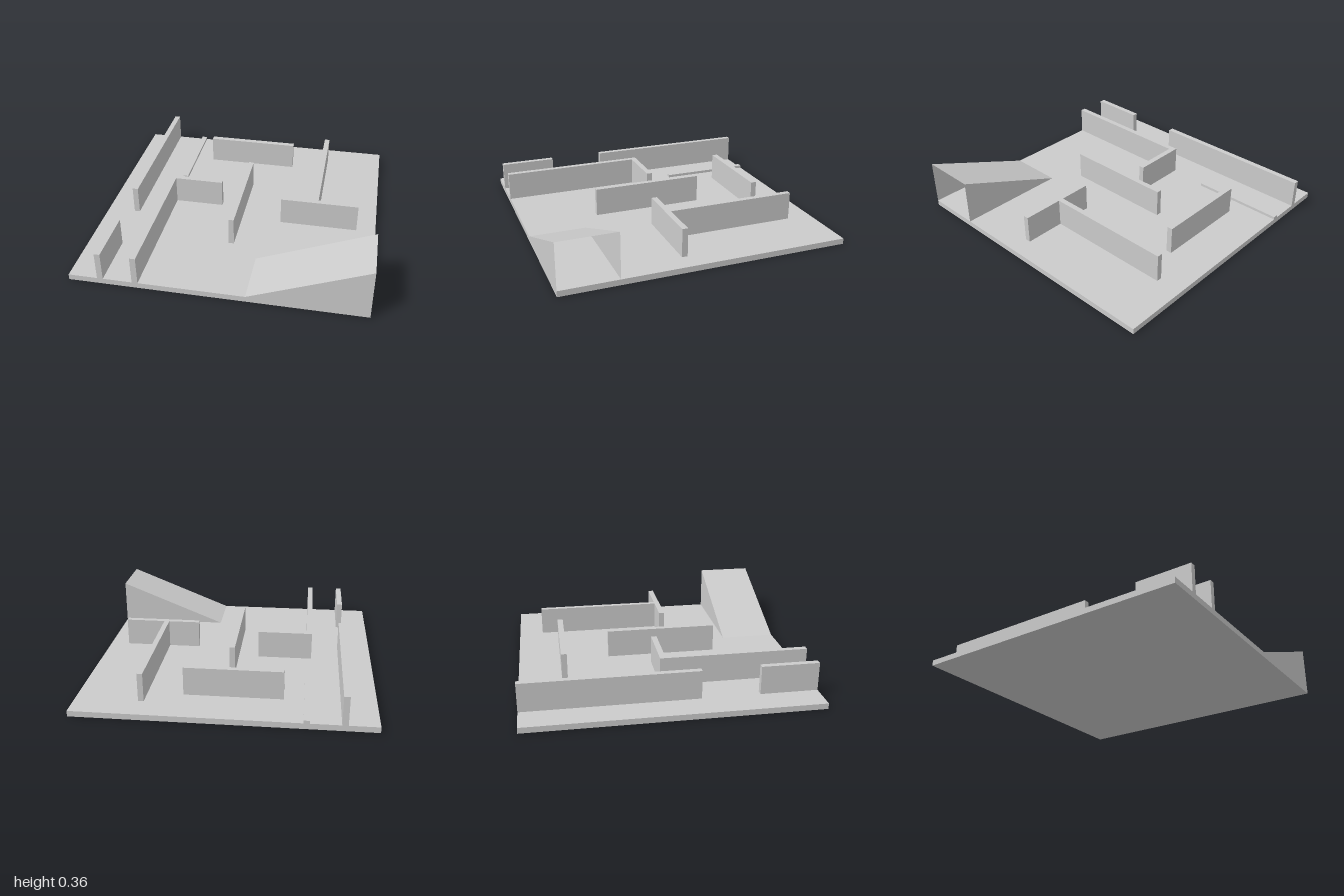
import * as THREE from 'three';

const BASE_TOP = 0.04;
const WALL_TOP = 0.24;

export function createModel() {
  const model = new THREE.Group();
  const material = new THREE.MeshStandardMaterial({ color: 0xcccccc, flatShading: true });
  const sheet = new THREE.MeshStandardMaterial({ color: 0xcccccc, flatShading: true, side: THREE.DoubleSide });

  // Box given by its limits on each axis
  function block(name, x0, x1, z0, z1, y0 = BASE_TOP, y1 = WALL_TOP) {
    const mesh = new THREE.Mesh(new THREE.BoxGeometry(x1 - x0, y1 - y0, z1 - z0), material);
    mesh.position.set((x0 + x1) / 2, (y0 + y1) / 2, (z0 + z1) / 2);
    mesh.name = name;
    model.add(mesh);
  }

  block('basePlate', -1, 1, -1, 1, 0, BASE_TOP);

  // Outer side wall with a doorway gap
  block('sideWallBack', -0.8, -0.76, -1, 0.2);
  block('sideWallFront', -0.8, -0.76, 0.6, 1);

  // Low sill in line with the corner wall
  block('lowSill', -0.56, -0.52, -1, -0.33, BASE_TOP, 0.06);

  // L-shaped corner wall
  block('cornerWallLong', -0.56, -0.52, 0, 1);
  block('cornerWallShort', -0.56, -0.165, -0.04, 0);

  // Free-standing walls
  block('backWall', -0.385, 0.29, -0.7, -0.66);
  block('middleWall', -0.02, 0.018, -0.34, 0.46);

  // T-shaped wall
  block('teeWallStem', 0.535, 0.573, -0.82, 0.1);
  block('teeWallBar', 0.305, 0.862, 0.1, 0.14);

  // Ramp: thin slope and two triangular cheeks, open at its high end
  const ramp = new THREE.Group();
  ramp.name = 'ramp';
  const x0 = 0.2, x1 = 1, z0 = 0.6, z1 = 1, high = 0.36;
  const rise = high - BASE_TOP;

  const slope = new THREE.Mesh(new THREE.PlaneGeometry(Math.hypot(x1 - x0, rise), z1 - z0).rotateX(-Math.PI / 2), sheet);
  slope.rotation.z = Math.atan2(rise, x1 - x0);
  slope.position.set((x0 + x1) / 2, (BASE_TOP + high) / 2, (z0 + z1) / 2);
  slope.name = 'rampSlope';
  ramp.add(slope);

  const triangle = new THREE.Shape([
    new THREE.Vector2(x0, BASE_TOP),
    new THREE.Vector2(x1, BASE_TOP),
    new THREE.Vector2(x1, high),
  ]);
  for (const [name, z] of [['rampCheekBack', z0], ['rampCheekFront', z1]]) {
    const cheek = new THREE.Mesh(new THREE.ShapeGeometry(triangle), sheet);
    cheek.position.z = z;
    cheek.name = name;
    ramp.add(cheek);
  }
  model.add(ramp);

  return model;
}
